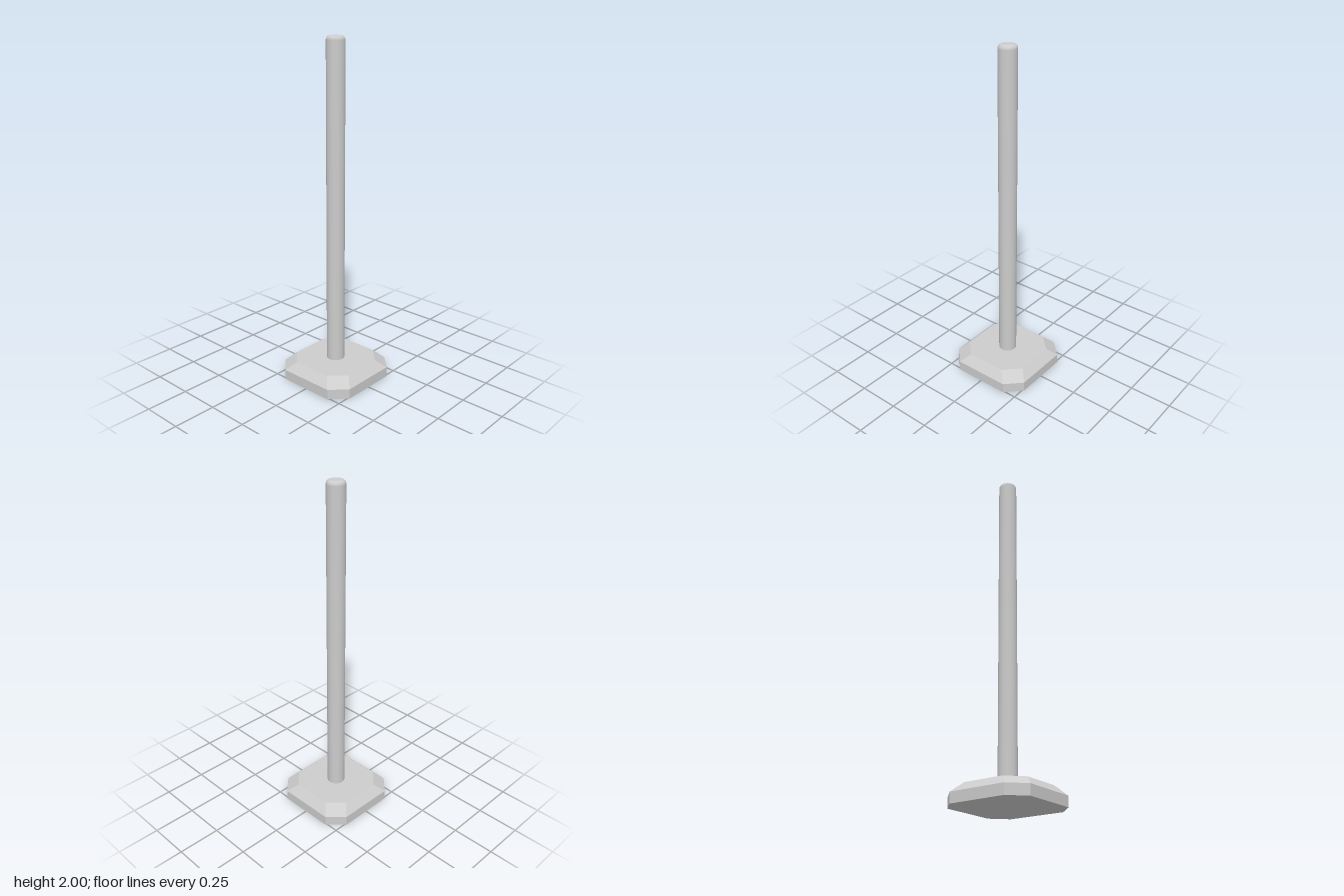
import * as THREE from 'three';

const SIDES = 20;

// Square outline with cut corners, counter-clockwise seen from above
function ring(half, corner, y) {
  return [
    [half, corner], [corner, half], [-corner, half], [-half, corner],
    [-half, -corner], [-corner, -half], [corner, -half], [half, -corner],
  ].map(([x, z]) => [x, y, -z]);
}

// Faceted solid joining a stack of rings, closed at both ends
function loft(rings) {
  const pos = [];
  const tri = (a, b, c) => pos.push(...a, ...b, ...c);
  const n = rings[0].length;
  for (let k = 0; k < rings.length - 1; k++) {
    const lo = rings[k], hi = rings[k + 1];
    for (let i = 0; i < n; i++) {
      const j = (i + 1) % n;
      tri(lo[i], lo[j], hi[j]);
      tri(lo[i], hi[j], hi[i]);
    }
  }
  const bottom = rings[0], top = rings[rings.length - 1];
  for (let i = 1; i < n - 1; i++) {
    tri(bottom[0], bottom[i + 1], bottom[i]);
    tri(top[0], top[i], top[i + 1]);
  }
  const geo = new THREE.BufferGeometry();
  geo.setAttribute('position', new THREE.Float32BufferAttribute(pos, 3));
  geo.computeVertexNormals();
  return geo;
}

export function createModel() {
  const group = new THREE.Group();
  group.name = 'postOnBase';
  const grey = new THREE.MeshStandardMaterial({ color: 0xcccccc });
  const add = (name, geo) => {
    const mesh = new THREE.Mesh(geo, grey);
    mesh.name = name;
    group.add(mesh);
    return mesh;
  };

  // Base block with cut corners and a sloped upper edge
  add('base', loft([ring(0.26, 0.17, 0), ring(0.26, 0.17, 0.06), ring(0.21, 0.12, 0.11)]));

  // Round post with a rounded shoulder at the top
  const radius = 0.053, round = 0.023;
  const profile = [new THREE.Vector2(radius, 0.11)];
  for (let i = 0; i <= 5; i++) {
    const a = (i / 5) * Math.PI / 2;
    profile.push(new THREE.Vector2(radius - round + round * Math.cos(a), 2 - round + round * Math.sin(a)));
  }
  add('post', new THREE.LatheGeometry(profile, SIDES));

  // Flat disc closing the post
  const cap = add('postCap', new THREE.CircleGeometry(radius - round, SIDES));
  cap.rotation.x = -Math.PI / 2;
  cap.position.y = 2;

  return group;
}
